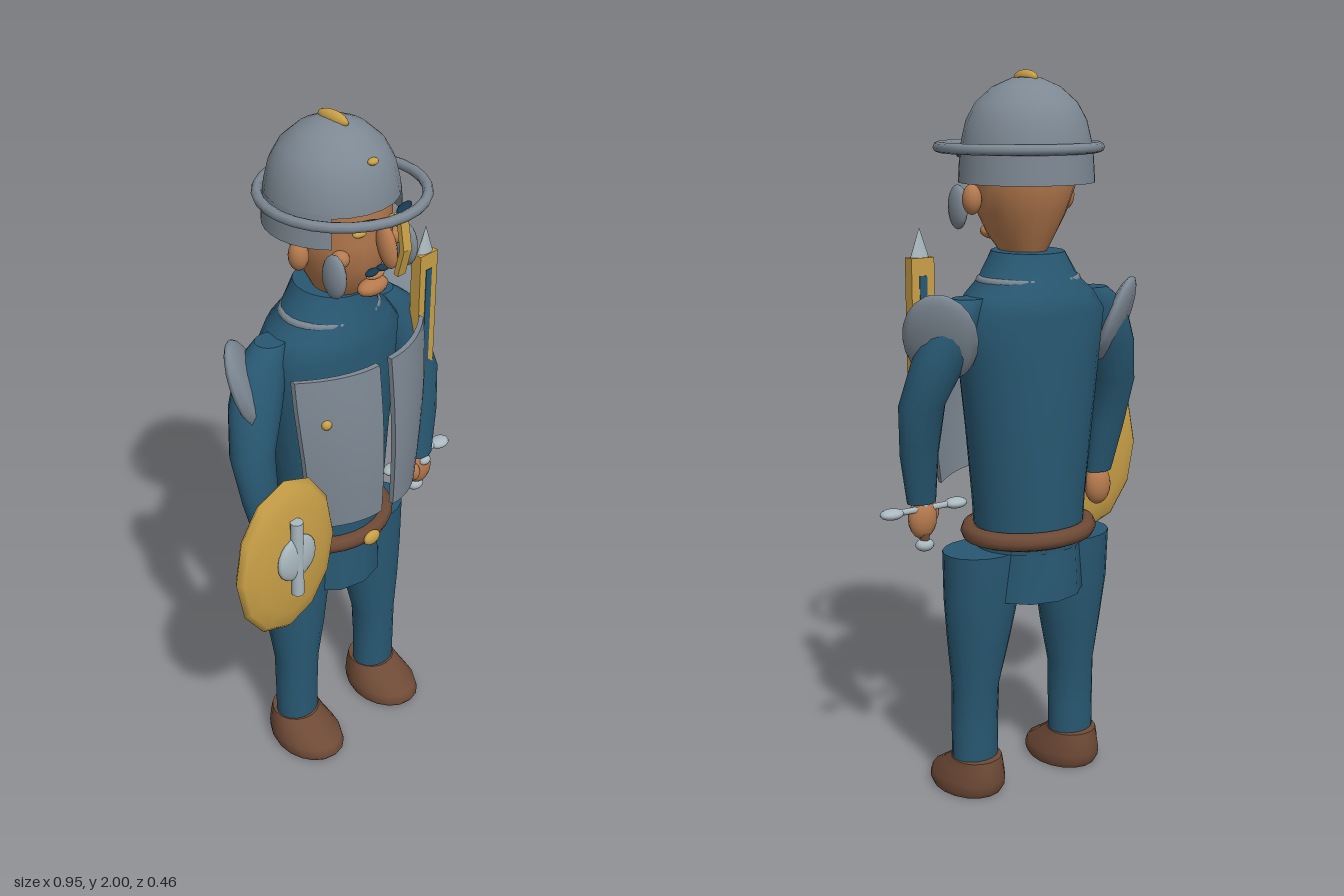
import * as THREE from 'three';

const mat = (name, color, side = THREE.FrontSide) => {
  const m = new THREE.MeshStandardMaterial({ color, side });
  m.name = name;
  return m;
};

export function createModel() {
  const model = new THREE.Group();
  const steel = mat('steel', 0x7d8893, THREE.DoubleSide);
  const silver = mat('pale steel', 0xaab9c0);
  const cloth = mat('blue cloth', 0x285872, THREE.DoubleSide);
  const dark = mat('dark blue', 0x173a50);
  const gold = mat('gold', 0xc9a047);
  const leather = mat('brown leather', 0x6e4a36);
  const skin = mat('skin', 0xb57a4e);

  // Everything on the body is symmetric about this axis
  const body = new THREE.Group();
  body.name = 'body';
  body.position.x = 0.04;
  model.add(body);

  const add = (name, geo, material, pos = [0, 0, 0], parent = body) => {
    const mesh = new THREE.Mesh(geo, material);
    mesh.name = name;
    mesh.position.set(...pos);
    parent.add(mesh);
    return mesh;
  };
  const ball = (name, material, pos, r, parent = body, seg = 14) =>
    add(name, new THREE.SphereGeometry(1, seg, 10).scale(...r), material, pos, parent);

  // Skin over elliptical rings [y, cx, cz, rx, rz], bottom to top
  const loft = (rings, seg = 20, capped = true) => {
    const pos = [], idx = [];
    const ring = ([y, cx, cz, rx, rz]) => {
      for (let i = 0; i < seg; i++) {
        const a = (i / seg) * Math.PI * 2;
        pos.push(cx + rx * Math.sin(a), y, cz + rz * Math.cos(a));
      }
    };
    rings.forEach(ring);
    for (let k = 0; k < rings.length - 1; k++) {
      for (let i = 0; i < seg; i++) {
        const a = k * seg + i, b = k * seg + ((i + 1) % seg);
        idx.push(a, b, b + seg, a, b + seg, a + seg);
      }
    }
    if (capped) {
      [rings[0], rings[rings.length - 1]].forEach((r, top) => {
        const s = pos.length / 3;
        ring(r);
        for (let i = 1; i < seg - 1; i++) {
          if (top) idx.push(s, s + i, s + i + 1);
          else idx.push(s, s + i + 1, s + i);
        }
      });
    }
    const g = new THREE.BufferGeometry();
    g.setAttribute('position', new THREE.Float32BufferAttribute(pos, 3));
    g.setIndex(idx);
    g.computeVertexNormals();
    return g;
  };
  const ringTorus = (rx, rz, tube) =>
    new THREE.TorusGeometry(1, tube / rx, 8, 28).rotateX(Math.PI / 2).scale(rx, rx, rz);

  // Torso, collar and hanging tunic hem
  add('torso', loft([
    [0.72, 0, -0.045, 0.155, 0.14], [0.85, 0, -0.045, 0.163, 0.145],
    [1.05, 0, -0.048, 0.185, 0.15], [1.25, 0, -0.048, 0.21, 0.152],
    [1.37, 0, -0.05, 0.225, 0.15], [1.42, 0, -0.05, 0.185, 0.145],
    [1.46, 0, -0.045, 0.14, 0.125], [1.53, 0, -0.042, 0.095, 0.108],
  ], 24), cloth);
  add('collarRing', ringTorus(0.137, 0.115, 0.012), steel, [0, 1.455, -0.045]);
  add('tunicHem', loft([[0.58, 0, -0.045, 0.155, 0.147], [0.74, 0, -0.045, 0.145, 0.14]], 12, false), cloth);
  add('belt', ringTorus(0.172, 0.148, 0.026), leather, [0, 0.76, -0.045]);
  ball('buckle', gold, [0, 0.76, 0.128], [0.03, 0.022, 0.014]);

  // Chevron between the chest plates
  for (const s of [-1, 1]) {
    add('chevron', new THREE.BoxGeometry(0.034, 0.012, 0.008).rotateZ(s * 0.7), dark, [s * 0.012, 1.262, 0.106]);
  }

  // Curved chest plates, a bent and tapered box
  const chestPlate = () => {
    const g = new THREE.BoxGeometry(1, 1, 0.016, 8, 6, 1);
    const p = g.attributes.position;
    for (let i = 0; i < p.count; i++) {
      const u = p.getX(i) + 0.5, v = p.getY(i) + 0.5;
      const width = 0.185 + 0.035 * Math.min(1, v * 1.3);
      const bulge = 0.02 * (1 - v) + 0.012 * Math.sin(v * Math.PI);
      p.setXYZ(i, 0.022 + u * width, 0.9 + v * 0.465 - 0.012 * u * (1 - v),
        0.157 + bulge - 0.09 * u * u + p.getZ(i));
    }
    g.computeVertexNormals();
    return g;
  };

  const sides = [1, -1].map((s) => {
    const g = new THREE.Group();
    g.name = s > 0 ? 'leftSide' : 'rightSide';
    g.scale.x = s;
    body.add(g);
    return g;
  });
  for (const side of sides) {
    add('chestPlate', chestPlate(), steel, [0, 0, 0], side);
    // Arms and hands
    add('sleeve', loft([
      [0.86, 0.3, 0.03, 0.042, 0.03], [1.0, 0.315, 0.012, 0.055, 0.042],
      [1.14, 0.318, -0.012, 0.064, 0.058], [1.26, 0.277, -0.04, 0.078, 0.066],
      [1.37, 0.235, -0.058, 0.075, 0.06], [1.42, 0.2, -0.06, 0.045, 0.04],
    ], 16), cloth, [0, 0, 0], side);
    ball('hand', skin, [0.298, 0.815, 0.03], [0.042, 0.058, 0.032], side);
    ball('thumb', skin, [0.255, 0.822, 0.05], [0.018, 0.03, 0.02], side);
    // Shoulder guard facing out and back
    const guard = ball('shoulderGuard', steel, [0.288, 1.32, -0.062], [0.1, 0.13, 0.03], side, 10);
    guard.rotation.set(0.35, Math.PI - 0.7, 0, 'YXZ');
    // Legs and boots
    add('leg', loft([
      [0.08, 0.167, -0.018, 0.068, 0.058], [0.2, 0.167, -0.018, 0.068, 0.06],
      [0.32, 0.165, -0.02, 0.067, 0.067], [0.45, 0.158, -0.027, 0.09, 0.08],
      [0.58, 0.152, -0.035, 0.11, 0.09], [0.72, 0.15, -0.038, 0.115, 0.095],
    ], 18), cloth, [0, 0, 0], side);
    add('boot', loft([
      [0, 0.167, 0.025, 0.092, 0.12], [0.015, 0.167, 0.025, 0.097, 0.131],
      [0.04, 0.167, 0.018, 0.096, 0.126], [0.075, 0.167, -0.008, 0.082, 0.097],
      [0.105, 0.167, -0.025, 0.072, 0.073],
    ], 18), leather, [0, 0, 0], side);
    // Face details
    ball('ear', skin, [0.15, 1.668, -0.003], [0.026, 0.04, 0.028], side);
    ball('cheek', skin, [0.095, 1.672, 0.09], [0.024, 0.023, 0.025], side);
    ball('cheekGuard', steel, [0.128, 1.64, 0.103], [0.02, 0.06, 0.04], side);
    ball('eye', gold, [0.06, 1.743, 0.122], [0.023, 0.011, 0.014], side);
    const brow = ball('brow', dark, [0.07, 1.778, 0.148], [0.045, 0.009, 0.013], side);
    brow.rotation.set(0, 0.4, -0.1);
    ball('moustache', dark, [0.02, 1.622, 0.128], [0.022, 0.008, 0.013], side).rotation.z = -0.1;
  }
  ball('plateRivet', gold, [-0.18, 1.235, 0.128], [0.015, 0.015, 0.014]);

  // Head
  add('head', loft([
    [1.52, 0, -0.02, 0.055, 0.07], [1.57, 0, -0.01, 0.085, 0.105],
    [1.63, 0, -0.012, 0.115, 0.13], [1.7, 0, -0.018, 0.137, 0.148],
    [1.82, 0, -0.025, 0.14, 0.15],
  ]), skin);
  ball('chin', skin, [0, 1.57, 0.112], [0.05, 0.024, 0.028]);
  ball('lips', skin, [0, 1.606, 0.12], [0.03, 0.01, 0.016]);
  ball('nose', skin, [0, 1.7, 0.158], [0.02, 0.06, 0.03]).rotation.x = -0.3;
  // Bent nose bar below the rim
  [[1.795, 0.207, 1.71, 0.222], [1.715, 0.222, 1.64, 0.203]].forEach(([y0, z0, y1, z1]) => {
    const bar = add('noseBar', new THREE.BoxGeometry(0.028, Math.hypot(y0 - y1, z0 - z1), 0.014), gold,
      [0, (y0 + y1) / 2, (z0 + z1) / 2]);
    bar.rotation.x = Math.atan2(z0 - z1, y0 - y1);
  });

  // Helmet
  const profile = [[0.176, 1.79], [0.172, 1.82], [0.16, 1.87], [0.135, 1.915], [0.09, 1.955], [0.04, 1.977], [0, 1.982]];
  add('helmetDome', new THREE.LatheGeometry(profile.map(([x, y]) => new THREE.Vector2(x, y)), 24), steel, [0, 0, -0.037]);
  add('neckGuard', new THREE.CylinderGeometry(0.176, 0.182, 0.09, 24, 1, true, 0.78, Math.PI * 2 - 1.56), steel, [0, 1.755, -0.037]);
  add('helmetRim', ringTorus(0.215, 0.215, 0.014), steel, [0, 1.8, 0]);
  ball('crest', gold, [0, 1.978, -0.033], [0.017, 0.02, 0.052]);
  ball('helmetStud', gold, [0, 1.908, 0.105], [0.016, 0.009, 0.012]);

  // Shield on the right arm
  const shield = new THREE.Group();
  shield.name = 'shield';
  shield.position.set(-0.305, 0.895, 0.14);
  model.add(shield);
  add('shieldDisc', new THREE.SphereGeometry(1, 12, 8).rotateX(Math.PI / 2).scale(0.175, 0.25, 0.042), gold, [0, 0, 0], shield);
  ball('shieldBoss', silver, [0, 0.022, 0.044], [0.068, 0.07, 0.018], shield);
  add('shieldBar', new THREE.CylinderGeometry(0.018, 0.018, 0.24, 10), silver, [0, 0.022, 0.046], shield);

  // Sword in the left hand
  const sword = new THREE.Group();
  sword.name = 'sword';
  sword.position.set(0.338, 0, 0.02);
  model.add(sword);
  add('swordTip', new THREE.ConeGeometry(0.03, 0.085, 12).scale(1, 1, 0.5), silver, [0, 1.56, 0], sword);
  add('bladeCore', new THREE.CylinderGeometry(0.014, 0.014, 0.7, 10), silver, [0, 1.175, 0], sword);
  add('scabbard', new THREE.BoxGeometry(0.068, 0.505, 0.034), gold, [0, 1.272, 0], sword);
  for (const s of [1, -1]) {
    add('scabbardInlay', new THREE.BoxGeometry(0.022, 0.46, 0.006), cloth, [0, 1.248, s * 0.016], sword);
    ball('guardEnd', silver, [s * 0.1, 0.845, 0], [0.034, 0.015, 0.026], sword);
  }
  add('crossguard', new THREE.CylinderGeometry(0.009, 0.009, 0.23, 8).rotateZ(Math.PI / 2), silver, [0, 0.845, 0], sword);
  ball('guardCentre', silver, [0, 0.845, 0.035], [0.02, 0.014, 0.014], sword);
  add('grip', new THREE.CylinderGeometry(0.014, 0.014, 0.12, 8), leather, [0, 0.8, 0], sword);
  ball('pommel', silver, [0, 0.742, 0], [0.027, 0.018, 0.022], sword);

  return model;
}
